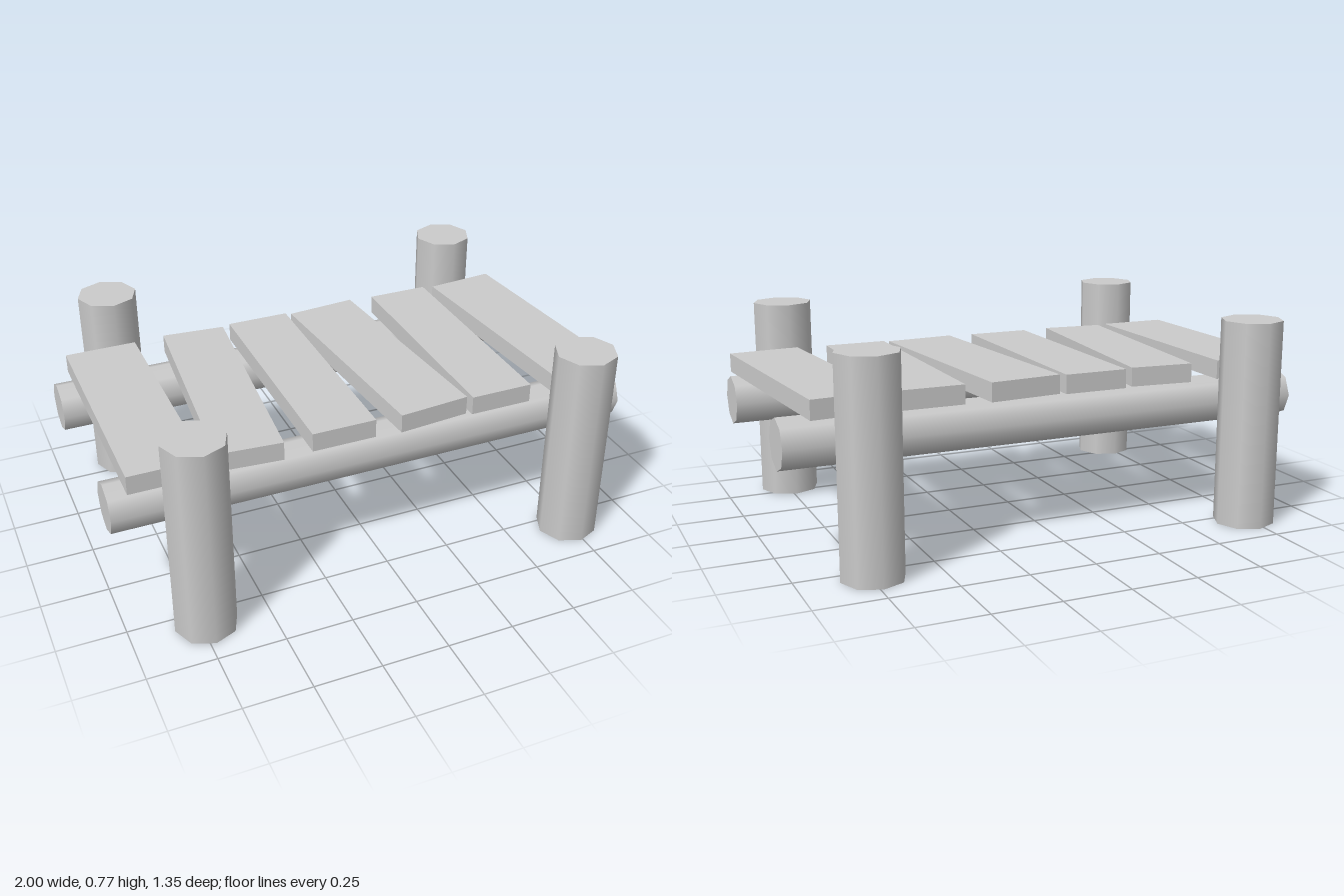
import * as THREE from 'three';

export function createModel() {
  const model = new THREE.Group();
  model.name = 'dock';
  const wood = new THREE.MeshStandardMaterial({ color: 0xcccccc });
  const openWood = new THREE.MeshStandardMaterial({ color: 0xcccccc, side: THREE.DoubleSide });

  const add = (name, geometry, material, x, y, z) => {
    const mesh = new THREE.Mesh(geometry, material);
    mesh.name = name;
    mesh.position.set(x, y, z);
    model.add(mesh);
    return mesh;
  };

  // Eight-sided posts with a flat top and an open bottom
  const postRadius = 0.114, postHeight = 0.773;
  const postSide = new THREE.CylinderGeometry(postRadius, postRadius, postHeight, 8, 1, true);
  const postTop = new THREE.CircleGeometry(postRadius, 8).rotateX(-Math.PI / 2);

  // Long eight-sided beams under the deck
  const beam = new THREE.CylinderGeometry(0.093, 0.093, 2, 8).rotateZ(Math.PI / 2);

  for (const [end, side] of [['front', 1], ['back', -1]]) {
    for (const [hand, x] of [['Right', -0.73], ['Left', 0.74]]) {
      const post = add(`${end}${hand}Post`, postSide, openWood, x, postHeight / 2, side * 0.562);
      const cap = new THREE.Mesh(postTop, openWood);
      cap.name = 'postTop';
      cap.position.y = postHeight / 2;
      post.add(cap);
    }
    add(`${end}Beam`, beam, wood, 0, 0.437, side * 0.354);
  }

  // Deck planks: centre x, width, turn about y
  const planks = [
    [-0.8, 0.272, 0],
    [-0.464, 0.242, -0.087],
    [-0.152, 0.242, 0],
    [0.163, 0.274, 0.087],
    [0.476, 0.24, 0],
    [0.809, 0.272, 0.087],
  ];
  planks.forEach(([x, width, turn], i) => {
    const plank = add(`plank${i + 1}`, new THREE.BoxGeometry(width, 0.071, 0.89), wood, x, 0.567, 0);
    plank.rotation.y = turn;
  });

  return model;
}
